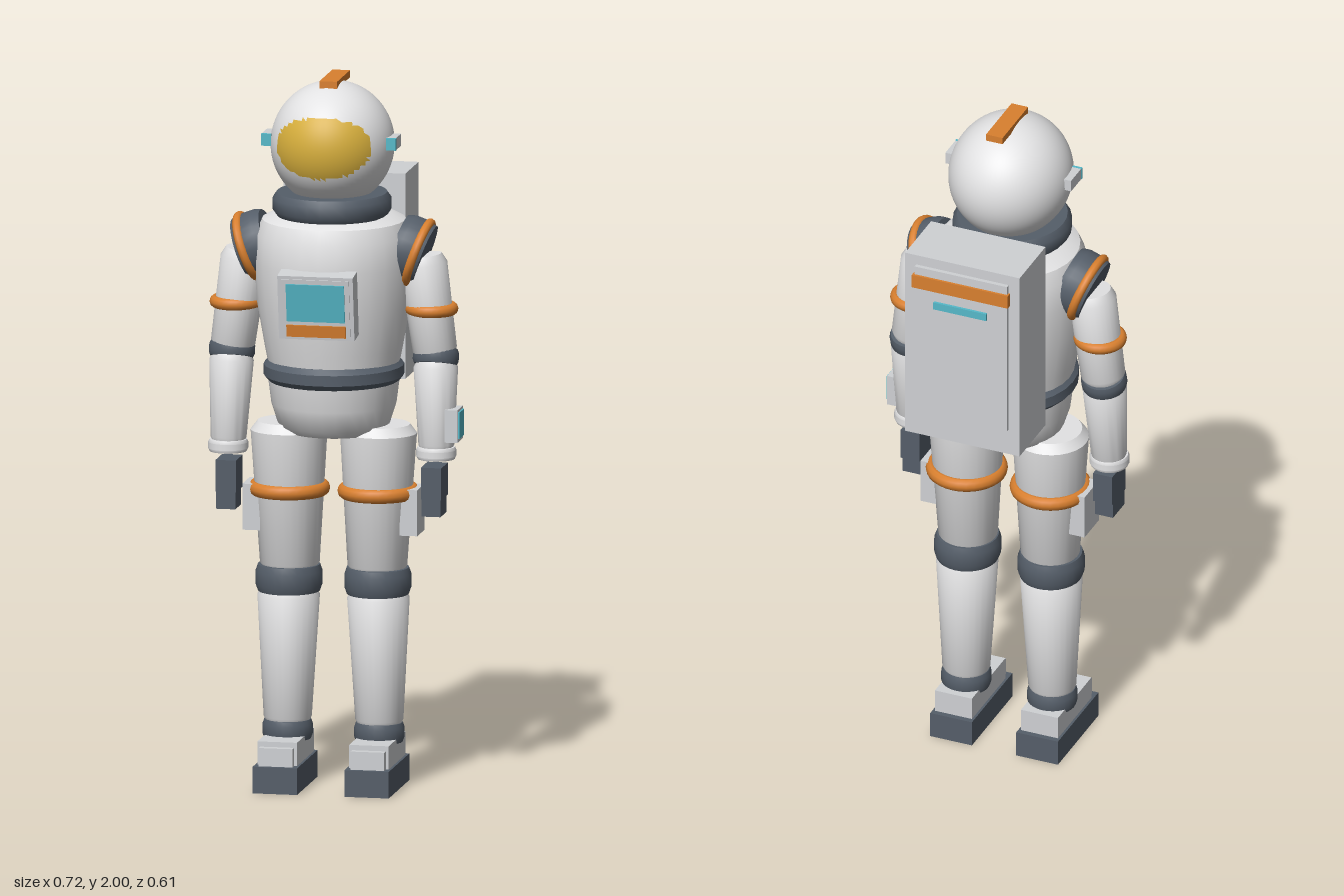
import * as THREE from 'three';
import { toCreasedNormals } from 'three/addons/utils/BufferGeometryUtils.js';

const material = (name, color) => {
  const m = new THREE.MeshStandardMaterial({ color });
  m.name = name;
  return m;
};

export function createModel() {
  const suit = material('suit white', 0xe2e2e3);
  const panel = material('panel grey', 0xcfd1d4);
  const dark = material('dark rubber', 0x555e69);
  const orange = material('orange trim', 0xd9802f);
  const teal = material('teal display', 0x56b9c9);
  const gold = material('gold visor', 0xd6ae3c);

  const model = new THREE.Group();
  model.name = 'spaceSuit';
  const body = new THREE.Group();
  body.name = 'body';
  body.position.x = -0.008;
  model.add(body);

  const add = (name, geometry, mat, x, y, z, parent = body) => {
    const mesh = new THREE.Mesh(geometry, mat);
    mesh.name = name;
    mesh.position.set(x, y, z);
    parent.add(mesh);
    return mesh;
  };
  const box = (name, mat, w, h, d, x, y, z, parent) =>
    add(name, new THREE.BoxGeometry(w, h, d), mat, x, y, z, parent);

  // Turned part from [radius, height] pairs listed bottom to top
  const turned = (points, sx = 1, sz = 1) => {
    const g = new THREE.LatheGeometry(points.map(p => new THREE.Vector2(...p)), 28);
    g.scale(sx, 1, sz);
    return toCreasedNormals(g, 0.7);
  };
  const bandShape = (r, h) => [[0, -h / 2], [r * 0.93, -h / 2], [r, -h * 0.25],
    [r, h * 0.25], [r * 0.93, h / 2], [0, h / 2]];
  const band = (name, mat, r, h, x, y, z, sz = 1, parent = body) =>
    add(name, turned(bandShape(r, h), 1, sz), mat, x, y, z, parent);
  const hoop = (name, mat, r, tube, x, y, z, parent) => {
    const g = new THREE.TorusGeometry(r, tube, 10, 32).rotateX(Math.PI / 2);
    return add(name, g, mat, x, y, z, parent);
  };

  // Tapered limb with softened ends, running from a (bottom) to b (top)
  const up = new THREE.Vector3(0, 1, 0);
  const limb = (name, mat, a, b, ra, rb) => {
    const start = new THREE.Vector3(...a);
    const dir = new THREE.Vector3(...b).sub(start);
    const L = dir.length();
    const g = turned([[0, 0], [ra * 0.88, 0], [ra, 0.015], [rb, L - 0.025], [rb * 0.82, L], [0, L]]);
    const mesh = add(name, g, mat, ...a);
    mesh.quaternion.setFromUnitVectors(up, dir.normalize());
    return mesh;
  };

  // Helmet: sphere whose front faces form the visor
  const sphere = new THREE.SphereGeometry(1, 64, 48);
  const shell = [], visor = [];
  const pos = sphere.attributes.position, idx = sphere.index.array;
  for (let i = 0; i < idx.length; i += 3) {
    const tri = [idx[i], idx[i + 1], idx[i + 2]];
    const mean = get => tri.reduce((s, k) => s + get(k), 0) / 3;
    const u = Math.abs(mean(k => pos.getX(k))) / 0.77;
    const v = Math.abs(mean(k => pos.getY(k)) - 0.074) / 0.48;
    const inside = mean(k => pos.getZ(k)) > 0 && u ** 2.3 + v ** 2.3 < 1;
    (inside ? visor : shell).push(...tri);
  }
  sphere.setIndex([...shell, ...visor]);
  sphere.addGroup(0, shell.length, 0);
  sphere.addGroup(shell.length, visor.length, 1);
  add('helmet', sphere, [suit, gold], 0, 1.815, 0.058).scale.set(0.172, 0.176, 0.188);
  box('helmetCrest', orange, 0.05, 0.02, 0.18, 0, 1.99, 0.03);

  // Torso, collar, belt and hips
  band('collar', dark, 0.165, 0.065, 0, 1.648, 0.067, 1.03);
  add('torso', turned([[0, 1.19], [0.182, 1.19], [0.192, 1.24], [0.213, 1.36], [0.222, 1.48],
    [0.217, 1.56], [0.2, 1.6], [0.16, 1.62], [0, 1.62]]), suit, 0, 0, 0.04);
  band('belt', dark, 0.195, 0.06, 0, 1.175, 0.04, 1.03);
  add('hips', turned([[0, 1.0], [0.13, 1.0], [0.155, 1.02], [0.174, 1.08], [0.183, 1.15], [0, 1.15]]),
    suit, 0, 0, 0.04);

  // Chest control unit, leaning forward at the top
  const chest = new THREE.Group();
  chest.name = 'chestUnit';
  chest.position.set(0, 1.394, 0.26);
  chest.rotation.x = 0.14;
  body.add(chest);
  box('chestCase', panel, 0.214, 0.184, 0.06, 0, 0, 0, chest);
  box('chestFace', panel, 0.192, 0.166, 0.004, 0, 0, 0.031, chest);
  box('chestScreen', teal, 0.165, 0.108, 0.008, 0, 0.016, 0.033, chest);
  box('chestStrip', orange, 0.168, 0.034, 0.008, 0, -0.066, 0.033, chest);

  // Life support pack
  box('pack', panel, 0.346, 0.58, 0.182, 0, 1.415, -0.193);
  box('packPanel', panel, 0.28, 0.47, 0.012, 0, 1.44, -0.29);
  box('packStrip', orange, 0.29, 0.04, 0.016, 0, 1.63, -0.295);
  box('packLight', teal, 0.16, 0.022, 0.009, 0, 1.565, -0.299);

  for (const s of [1, -1]) {
    const side = s > 0 ? 'left' : 'right';
    const n = part => side + part;

    add(n('PackNozzle'), new THREE.CylinderGeometry(0.044, 0.038, 0.02, 24), panel, s * 0.085, 1.124, -0.215);
    box(n('HelmetLampBody'), panel, 0.05, 0.034, 0.07, s * 0.165, 1.828, 0.073);
    box(n('HelmetLamp'), teal, 0.028, 0.034, 0.009, s * 0.177, 1.828, 0.1125);

    // Shoulder joint facing outward and down
    const shoulder = new THREE.Group();
    shoulder.name = n('Shoulder');
    shoulder.position.set(s * 0.24, 1.51, 0.04);
    shoulder.rotation.z = -s * 1.92;
    body.add(shoulder);
    band(n('ShoulderJoint'), dark, 0.095, 0.085, 0, -0.022, 0, 1, shoulder);
    hoop(n('ShoulderRing'), orange, 0.09, 0.013, 0, 0, 0, shoulder);

    // Arm
    limb(n('UpperArm'), suit, [s * 0.288, 1.225, 0.04], [s * 0.25, 1.505, 0.04], 0.062, 0.067);
    hoop(n('ArmBand'), orange, 0.06, 0.0145, s * 0.277, 1.355, 0.04).scale.y = 1.15;
    band(n('Elbow'), dark, 0.064, 0.045, s * 0.289, 1.22, 0.04).rotation.x = -0.3;
    limb(n('Forearm'), suit, [s * 0.295, 0.96, 0.062], [s * 0.289, 1.215, 0.042], 0.05, 0.062);
    band(n('Cuff'), suit, 0.056, 0.034, s * 0.295, 0.953, 0.064);
    box(n('Glove'), dark, 0.058, 0.09, 0.092, s * 0.291, 0.873, 0.071);
    box(n('Fingers'), dark, 0.054, 0.06, 0.082, s * 0.291, 0.81, 0.076);

    // Leg
    limb(n('Thigh'), suit, [s * 0.124, 0.61, 0.045], [s * 0.127, 1.025, 0.042], 0.083, 0.107);
    hoop(n('ThighBand'), orange, 0.098, 0.0165, s * 0.127, 0.835, 0.042).scale.y = 1.2;
    box(n('ThighPouch'), panel, 0.05, 0.13, 0.1, s * 0.223, 0.785, 0.048);
    band(n('Knee'), dark, 0.093, 0.075, s * 0.126, 0.583, 0.047, 1.04);
    limb(n('Shin'), suit, [s * 0.13, 0.175, 0.046], [s * 0.127, 0.56, 0.046], 0.067, 0.087);
    band(n('Ankle'), dark, 0.07, 0.055, s * 0.13, 0.155, 0.046);
    box(n('BootUpper'), panel, 0.112, 0.07, 0.235, s * 0.13, 0.106, 0.0725);
    box(n('BootToe'), panel, 0.096, 0.055, 0.06, s * 0.13, 0.099, 0.182);
    box(n('BootSole'), dark, 0.126, 0.075, 0.285, s * 0.13, 0.0375, 0.081);
  }

  // Wrist computer on the left forearm only
  box('wristUnit', panel, 0.036, 0.092, 0.076, 0.345, 1.035, 0.067);
  box('wristScreen', teal, 0.006, 0.074, 0.06, 0.365, 1.037, 0.067);

  return model;
}
